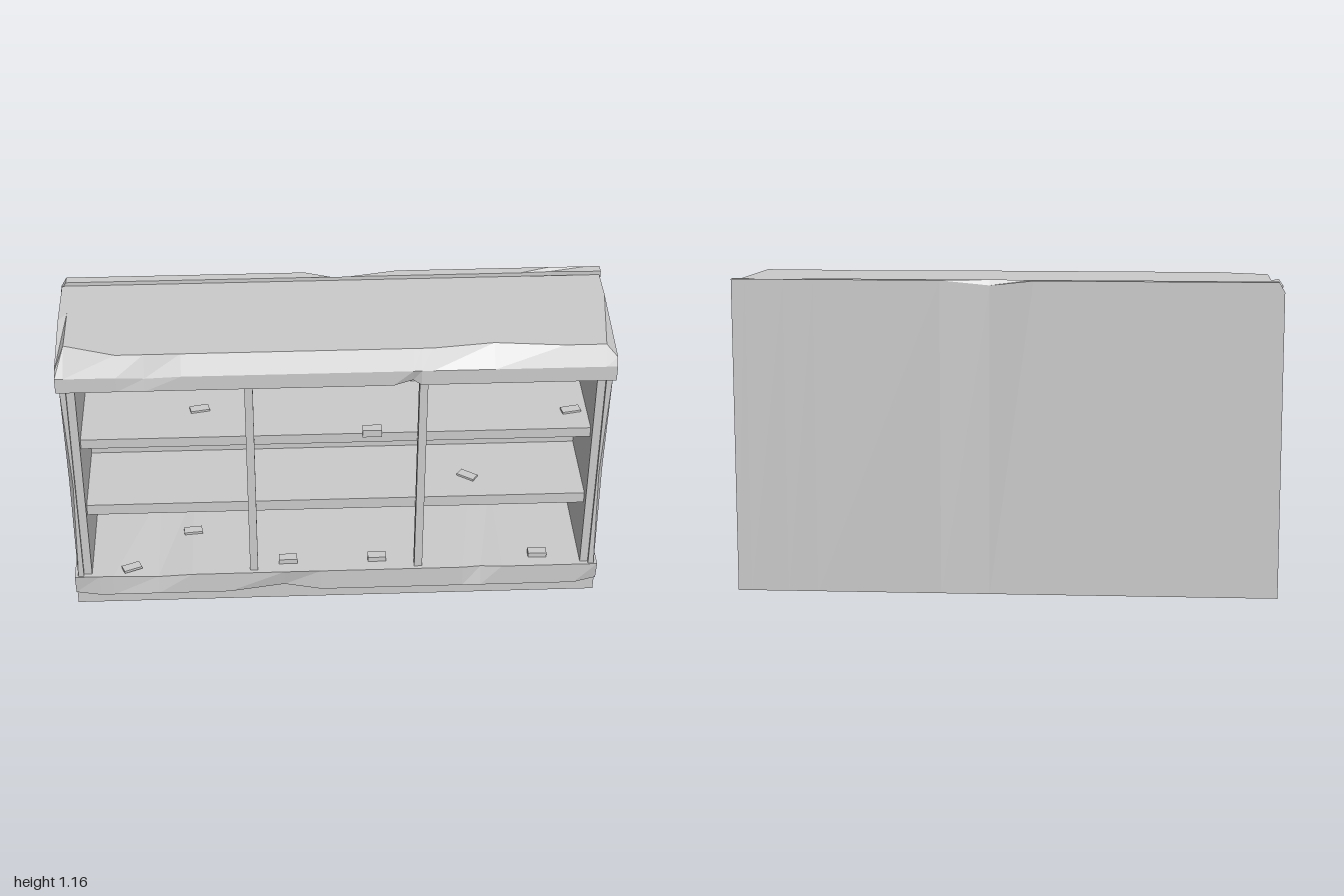
import * as THREE from 'three';

const material = new THREE.MeshStandardMaterial({ color: 0xcccccc, flatShading: true, side: THREE.DoubleSide });

// Skins a row of equal cross-sections and closes both ends; winding follows the signed volume.
function loft(rings) {
  const n = rings[0].length, tris = [];
  for (let r = 0; r < rings.length - 1; r++) {
    for (let i = 0; i < n; i++) {
      const j = (i + 1) % n;
      const a = rings[r][i], b = rings[r][j], c = rings[r + 1][j], d = rings[r + 1][i];
      tris.push([a, b, c], [a, c, d]);
    }
  }
  const first = rings[0], last = rings[rings.length - 1];
  for (let i = 1; i < n - 1; i++) {
    tris.push([first[0], first[i + 1], first[i]], [last[0], last[i], last[i + 1]]);
  }
  const vectors = tris.map(t => t.map(p => new THREE.Vector3(...p)));
  const volume = vectors.reduce((sum, [a, b, c]) => sum + a.dot(b.clone().cross(c)), 0);
  const points = vectors.flatMap(([a, b, c]) => (volume < 0 ? [a, c, b] : [a, b, c]));
  const geometry = new THREE.BufferGeometry().setFromPoints(points);
  geometry.computeVertexNormals();
  return geometry;
}

// Lengthwise member: [z, y] profile at each x station; chips replace single profile points.
function member(profile, stations) {
  return loft(stations.map(([x, chips = {}]) =>
    profile.map((p, i) => { const [z, y] = chips[i] || p; return [x, y, z]; })));
}

function rect(z0, z1, y0, y1) {
  return [[z0, y0], [z1, y0], [z1, y1], [z0, y1]];
}

export function createModel() {
  const model = new THREE.Group();

  function add(name, geometry, parent = model) {
    const mesh = new THREE.Mesh(geometry, material);
    mesh.name = name;
    parent.add(mesh);
    return mesh;
  }

  function box(name, x0, x1, y0, y1, z0, z1) {
    const mesh = add(name, new THREE.BoxGeometry(x1 - x0, y1 - y0, z1 - z0));
    mesh.position.set((x0 + x1) / 2, (y0 + y1) / 2, (z0 + z1) / 2);
    return mesh;
  }

  // Back board with worn top edges
  add('backPanel', member(rect(-0.265, -0.23, 0, 1.165), [
    [-1, { 2: [-0.23, 1.13], 3: [-0.265, 1.13] }], [-0.98],
    [-0.1], [0.06, { 3: [-0.24, 1.145] }], [0.24],
    [0.7], [0.81, { 2: [-0.25, 1.155] }], [0.95], [1]
  ]));

  // Recessed plinth and the projecting ledge above it
  box('plinth', -0.995, 0.995, 0, 0.07, -0.23, 0.225);
  add('baseLedge', member(rect(-0.23, 0.265, 0.07, 0.16), [
    [-0.995, { 1: [0.255, 0.078] }], [-0.9],
    [-0.85], [-0.68, { 2: [0.255, 0.145] }], [-0.55],
    [-0.41], [-0.2, { 1: [0.25, 0.087] }], [-0.06],
    [0.48], [0.55, { 2: [0.25, 0.152] }], [0.63],
    [0.91], [0.995, { 1: [0.25, 0.08] }]
  ]));

  // Sloped canopy with chipped corners and front edges
  const canopy = [[-0.23, 1.02], [0.265, 1.02], [0.265, 1.08], [0.225, 1.15], [-0.05, 1.15], [-0.23, 1.15]];
  add('canopy', member(canopy, [
    [-0.995, { 3: [0.245, 1.1], 4: [0, 1.15] }],
    [-0.965, { 3: [0.16, 1.15] }],
    [-0.78], [-0.68, { 2: [0.258, 1.07] }], [-0.55],
    [0.2], [0.27, { 1: [0.25, 1.032] }], [0.3],
    [0.34], [0.56, { 3: [0.2, 1.15] }], [0.81],
    [0.955], [0.995, { 3: [0.25, 1.11], 4: [-0.1, 1.15] }]
  ]));

  // Side walls: outer board with a worn front corner, and an inner post
  const wear = [[0.16, 0.001], [0.22, 0.006], [0.6, 0.026], [0.85, 0.012], [1.02, 0.001]];
  for (const [label, s] of [['left', 1], ['right', -1]]) {
    add(label + 'SidePanel', loft(wear.map(([y, c]) => [
      [s * 0.96, y, -0.23], [s * 0.982, y, -0.23], [s * 0.982, y, 0.26 - c],
      [s * (0.982 - c * 0.6), y, 0.26], [s * 0.96, y, 0.26]
    ])));
    box(label + 'InnerPost', Math.min(s * 0.93, s * 0.96), Math.max(s * 0.93, s * 0.96), 0.16, 1.02, -0.23, 0.247);
  }

  // Inner back wall, shelves and front dividers
  box('innerBackWall', -0.93, 0.93, 0.16, 1.02, -0.23, -0.11);
  for (const [y0, y1] of [[0.42, 0.465], [0.73, 0.77]]) {
    box('shelf', -0.93, 0.93, y0, y1, -0.11, 0.21);
  }
  for (const x of [-0.315, 0.31]) {
    box('divider', x - 0.015, x + 0.015, 0.16, 1.02, 0.21, 0.25);
  }

  // Loose splinters: x, y, z, turn, thickness
  const splinters = [
    [-0.78, 0.16, 0.22, 0.4, 0.01], [-0.55, 0.16, 0.01, 0.1, 0.01],
    [-0.185, 0.16, 0.2, 0, 0.02], [0.155, 0.16, 0.2, 0, 0.02],
    [0.77, 0.16, 0.2, 0, 0.02], [0.5, 0.465, 0.09, -0.6, 0.008],
    [0.13, 0.757, 0.2, 0, 0.03], [-0.5, 0.77, 0.04, 0.2, 0.008], [0.87, 0.77, 0.1, 0.2, 0.008]
  ];
  const debris = new THREE.Group();
  debris.name = 'debris';
  model.add(debris);
  for (const [x, y, z, turn, t] of splinters) {
    const chip = add('splinter', new THREE.BoxGeometry(0.07, t, 0.035), debris);
    chip.position.set(x, y + t / 2, z);
    chip.rotation.y = turn;
  }

  return model;
}
